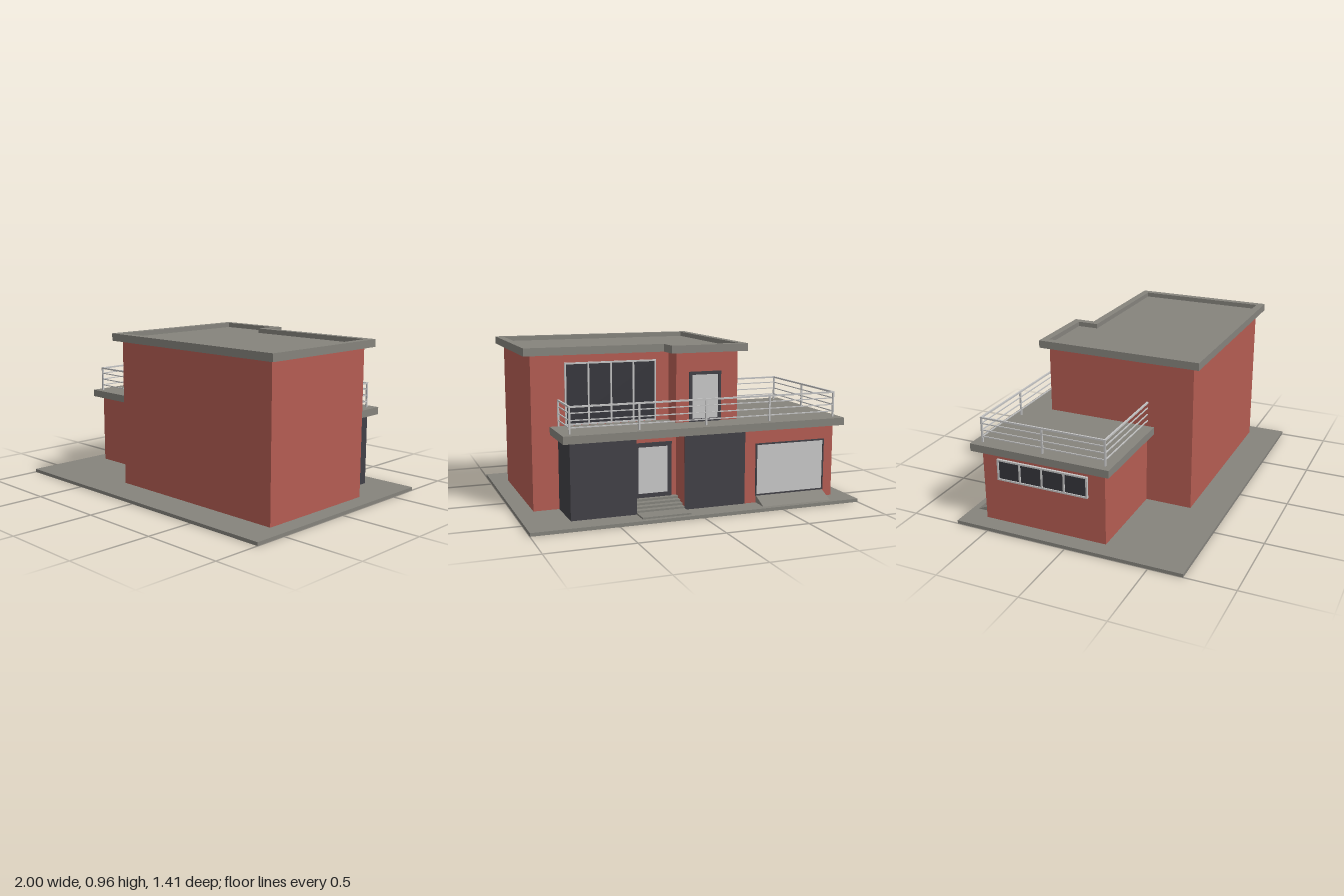
import * as THREE from 'three';

const mat = (name, color) => {
  const m = new THREE.MeshStandardMaterial({ color });
  m.name = name;
  return m;
};

export function createModel() {
  const house = new THREE.Group();
  house.name = 'house';
  const concrete = mat('concrete', 0x85837c);
  const brick = mat('red wall', 0xb45c52);
  const dark = mat('dark cladding', 0x414046);
  const metal = mat('rail metal', 0xc4c4c4);
  const panel = mat('light panel', 0xc9c9c9);
  const glass = mat('dark glass', 0x35353b);

  const add = (name, geo, m, parent = house) => {
    const mesh = new THREE.Mesh(geo, m);
    mesh.name = name;
    parent.add(mesh);
    return mesh;
  };
  // Box from its minimum and maximum corners
  const box = (name, x0, x1, y0, y1, z0, z1, m, parent) => {
    const b = add(name, new THREE.BoxGeometry(x1 - x0, y1 - y0, z1 - z0), m, parent);
    b.position.set((x0 + x1) / 2, (y0 + y1) / 2, (z0 + z1) / 2);
    return b;
  };
  // Vertical prism from a plan outline in (x, z), with an optional hole
  const prism = (name, plan, y0, y1, m, hole) => {
    const pts = (p) => p.map(([x, z]) => new THREE.Vector2(x, -z));
    const shape = new THREE.Shape(pts(plan));
    if (hole) shape.holes.push(new THREE.Path(pts(hole)));
    const geo = new THREE.ExtrudeGeometry(shape, { depth: y1 - y0, bevelEnabled: false });
    geo.rotateX(-Math.PI / 2);
    geo.translate(0, y0, 0);
    return add(name, geo, m);
  };

  // Ground plate
  box('groundPlate', -1, 1, 0, 0.02, -0.703, 0.703, concrete);

  // Two-storey block, grown outward by d for the roof edge
  const mainPlan = (d) => [
    [-0.318 - d, 0.49 + d], [0.895 + d, 0.49 + d], [0.895 + d, -0.303 - d],
    [0.07 + d, -0.303 - d], [0.07 + d, -0.43 - d], [-0.318 - d, -0.43 - d],
  ];
  prism('mainWalls', mainPlan(0), 0.02, 0.916, brick);
  prism('roofParapet', mainPlan(0.045), 0.915, 0.96, concrete, mainPlan(0));
  prism('roofDeck', mainPlan(0.002), 0.916, 0.932, concrete);

  // Ground-floor wing and the block beside the entrance
  prism('wingWalls', [
    [-0.895, 0.205], [-0.3, 0.205], [-0.3, -0.4], [0.07, -0.4], [0.07, -0.565], [-0.895, -0.565],
  ], 0.02, 0.462, brick);
  box('sideBlock', 0.36, 0.74, 0.02, 0.462, -0.565, -0.29, brick);
  box('entranceWall', 0.06, 0.37, 0.02, 0.462, -0.43, -0.29, brick);

  // Dark cladding plates
  box('sideBlockBackCladding', 0.36, 0.743, 0.02, 0.461, -0.568, -0.563, dark);
  box('sideBlockEndCladding', 0.737, 0.743, 0.02, 0.461, -0.567, -0.304, dark);
  box('centreCladding', -0.31, 0.07, 0.02, 0.461, -0.568, -0.563, dark);

  // Terrace slab
  prism('terraceSlab', [
    [-0.943, 0.25], [-0.3, 0.25], [-0.3, -0.29], [0.79, -0.29], [0.79, -0.615], [-0.943, -0.615],
  ], 0.461, 0.506, concrete);

  // Framed opening facing local +z, with its bottom centre at the origin
  const opening = (name, w, h, cols, frameMat, fillMat, f, depth, x, y, z, turn) => {
    const g = new THREE.Group();
    g.name = name;
    box('fill', -w / 2 + f / 2, w / 2 - f / 2, f / 2, h - f / 2, 0, depth * 0.5, fillMat, g);
    for (const y0 of [0, h - f]) box('frameRail', -w / 2, w / 2, y0, y0 + f, 0, depth, frameMat, g);
    for (let i = 0; i <= cols; i++) {
      const cx = -w / 2 + f / 2 + (i * (w - f)) / cols;
      box('frameBar', cx - f / 2, cx + f / 2, 0, h, 0, depth, frameMat, g);
    }
    g.position.set(x, y, z);
    g.rotation.y = turn;
    house.add(g);
  };
  const back = Math.PI;
  opening('terraceWindow', 0.55, 0.36, 4, metal, glass, 0.01, 0.008, 0.425, 0.508, -0.303, back);
  opening('terraceDoor', 0.2, 0.295, 1, dark, panel, 0.018, 0.008, -0.11, 0.506, -0.43, back);
  opening('entranceDoor', 0.23, 0.325, 1, dark, panel, 0.025, 0.008, 0.215, 0.076, -0.43, back);
  opening('garageDoor', 0.455, 0.315, 1, dark, panel, 0.009, 0.006, -0.607, 0.062, -0.565, back);
  opening('sideWindow', 0.57, 0.13, 4, metal, glass, 0.01, 0.014, -0.895, 0.29, -0.183, -Math.PI / 2);

  // Entrance landing and steps
  box('landing', 0.07, 0.36, 0.02, 0.03, -0.672, -0.43, concrete);
  for (let i = 0; i < 4; i++) {
    box('entranceStep', 0.07, 0.36, 0.03, 0.041 + i * 0.012, -0.57 + i * 0.035, -0.43, concrete);
  }

  // Garage ramp: wedge profile swept along x
  const wedge = new THREE.Shape([[0.56, 0.02], [0.668, 0.02], [0.565, 0.064], [0.56, 0.064]]
    .map(([a, b]) => new THREE.Vector2(a, b)));
  const rampGeo = new THREE.ExtrudeGeometry(wedge, { depth: 0.445, bevelEnabled: false });
  rampGeo.rotateY(Math.PI / 2);
  rampGeo.translate(-0.83, 0, 0);
  add('garageRamp', rampGeo, concrete);

  // Terrace railing: horizontal rails along each run, plus posts
  const railing = new THREE.Group();
  railing.name = 'railing';
  house.add(railing);
  const runs = [
    [-0.895, 0.208, -0.318, 0.208],
    [-0.895, -0.56, -0.895, 0.208],
    [-0.895, -0.56, 0.74, -0.56],
    [0.74, -0.56, 0.74, -0.303],
  ];
  for (const [x0, z0, x1, z1] of runs) {
    for (const [y, t] of [[0.656, 0.005], [0.621, 0.003], [0.581, 0.003], [0.541, 0.003]]) {
      box('rail', x0 - t, x1 + t, y - t, y + t, z0 - t, z1 + t, metal, railing);
    }
  }
  const posts = [
    [-0.895, 0.208], [-0.895, -0.175], [-0.895, -0.56], [-0.468, -0.56],
    [-0.065, -0.56], [0.34, -0.56], [0.74, -0.56], [0.74, -0.309],
  ];
  for (const [x, z] of posts) {
    box('post', x - 0.005, x + 0.005, 0.505, 0.656, z - 0.005, z + 0.005, metal, railing);
  }

  return house;
}
